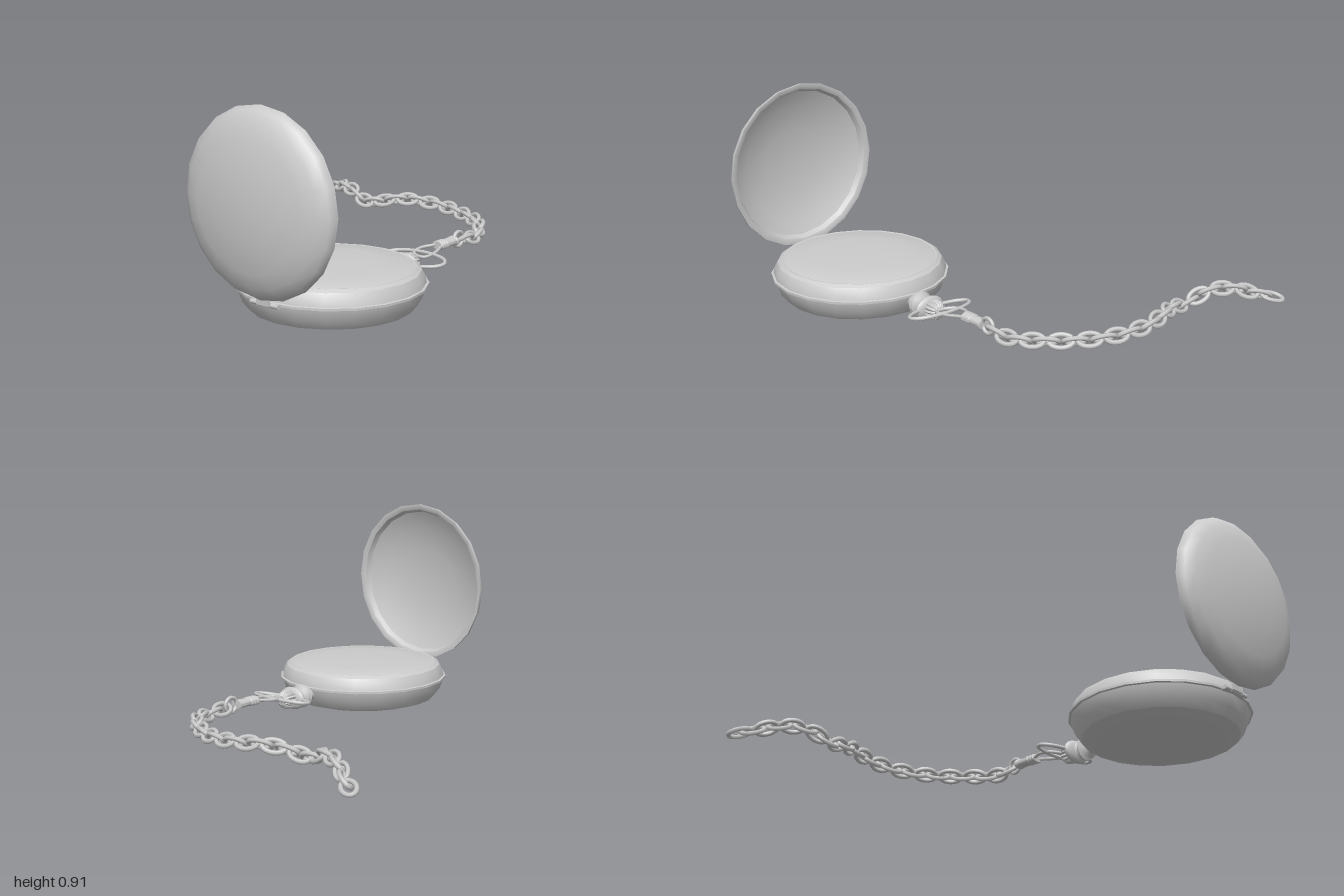
import * as THREE from 'three';
import { toCreasedNormals } from 'three/addons/utils/BufferGeometryUtils.js';

const CX = 0.415, CZ = 0.46; // centre of the case
const metal = new THREE.MeshStandardMaterial({ color: 0xcccccc });

function add(parent, name, geometry, x = 0, y = 0, z = 0) {
  const mesh = new THREE.Mesh(geometry, metal);
  mesh.name = name;
  mesh.position.set(x, y, z);
  parent.add(mesh);
  return mesh;
}

const lathe = (profile, sides, crease = 0.5) =>
  toCreasedNormals(new THREE.LatheGeometry(profile.map(p => new THREE.Vector2(...p)), sides), crease);

// Closed wire through points
function wire(points, radius, steps, sides = 6) {
  const curve = new THREE.CatmullRomCurve3(points, true);
  return new THREE.TubeGeometry(curve, steps, radius, sides, true);
}

// Elliptical wire loop in the xy plane
function loop(a, b, radius, steps) {
  const points = [];
  for (let i = 0; i < 12; i++) {
    const t = i / 12 * Math.PI * 2;
    points.push(new THREE.Vector3(a * Math.cos(t), b * Math.sin(t), 0));
  }
  return wire(points, radius, steps);
}

function buildWatch() {
  const watch = new THREE.Group();
  watch.name = 'watch';

  // Case with flat back, centre rim and raised bezel
  add(watch, 'case', lathe([
    [0, 0], [0.285, 0], [0.345, 0.018], [0.375, 0.055], [0.391, 0.1], [0.393, 0.108],
    [0.403, 0.11], [0.403, 0.12], [0.393, 0.122], [0.387, 0.15], [0.373, 0.175],
    [0.355, 0.186], [0.345, 0.184]
  ], 20), CX, 0, CZ);
  add(watch, 'crystal', lathe([[0.348, 0.183], [0.335, 0.188], [0.22, 0.197], [0, 0.2]], 20), CX, 0, CZ);

  // Open lid: thin dome with a turned inner lip
  const lid = lathe([
    [0, 0.1], [0.15, 0.091], [0.27, 0.068], [0.35, 0.03], [0.362, 0.006], [0.375, 0],
    [0.389, 0], [0.389, 0.01], [0.375, 0.035], [0.335, 0.062], [0.27, 0.085], [0.15, 0.107], [0, 0.115]
  ], 20, 0.6);
  lid.rotateX(Math.PI / 2);
  add(watch, 'lid', lid, CX, 0.523, 0.882);

  // Hinge knuckles and the leaf that carries the lid
  for (const [i, w] of [[-1, 0.038], [0, 0.066], [1, 0.038]]) {
    const knuckle = new THREE.CylinderGeometry(0.01, 0.01, w, 10);
    knuckle.rotateZ(Math.PI / 2);
    add(watch, 'hingeKnuckle', knuckle, CX + i * 0.054, 0.113, 0.867);
  }
  add(watch, 'hingeLeaf', new THREE.BoxGeometry(0.066, 0.04, 0.01), CX, 0.13, 0.878);
  add(watch, 'hingePlate', new THREE.BoxGeometry(0.14, 0.012, 0.03), CX, 0.113, 0.85);
  return watch;
}

function buildCrown() {
  const crown = new THREE.Group();
  crown.name = 'windingCrown';

  // Ridged stem between case and crown
  add(crown, 'stem', lathe([
    [0.03, -0.09], [0.03, -0.058], [0.05, -0.045], [0.03, -0.035], [0.056, -0.025],
    [0.056, -0.02], [0.035, -0.005], [0.046, 0.003], [0.03, 0.012], [0.03, 0.06]
  ], 16));

  // Oval shoulder holding the bow
  const shoulder = new THREE.SphereGeometry(1, 20, 12);
  shoulder.scale(0.075, 0.024, 0.053);
  add(crown, 'shoulder', shoulder, 0, 0.035, 0);

  // Fluted knob: every other column is pulled inwards
  const knob = new THREE.LatheGeometry([
    [0.03, 0.045], [0.044, 0.055], [0.046, 0.075], [0.04, 0.095], [0.024, 0.108], [0, 0.112]
  ].map(p => new THREE.Vector2(...p)), 32);
  const pos = knob.attributes.position;
  for (let i = 0; i < pos.count; i++) {
    if (Math.floor(i / 6) % 2) pos.setXYZ(i, pos.getX(i) * 0.87, pos.getY(i), pos.getZ(i) * 0.87);
  }
  add(crown, 'knob', toCreasedNormals(knob, 0.4));

  crown.rotation.x = -Math.PI / 2;
  crown.position.set(CX, 0.085, 0);
  return crown;
}

function buildClip() {
  const clip = new THREE.Group();
  clip.name = 'clip';

  // Oval bow, slightly tilted
  const bow = add(clip, 'bow', loop(0.158, 0.074, 0.009, 40), CX, 0.097, -0.105);
  bow.rotation.x = -Math.PI / 2 + 0.17;

  // Bent wire hook around the bow
  const hook = [
    [0.405, 0.12, -0.3], [0.395, 0.12, -0.27], [0.368, 0.115, -0.21], [0.375, 0.108, -0.155],
    [0.41, 0.104, -0.128], [0.452, 0.104, -0.128], [0.459, 0.11, -0.19], [0.437, 0.12, -0.27], [0.425, 0.12, -0.3]
  ].map(p => new THREE.Vector3(...p));
  add(clip, 'hook', wire(hook, 0.008, 48));

  // Barrel with collars
  const barrel = lathe([
    [0, 0.275], [0.028, 0.275], [0.033, 0.28], [0.033, 0.29], [0.028, 0.293], [0.033, 0.297],
    [0.033, 0.307], [0.028, 0.31], [0.033, 0.314], [0.033, 0.324], [0.028, 0.328],
    [0.03, 0.385], [0.033, 0.388], [0.033, 0.397], [0, 0.4]
  ], 14);
  barrel.rotateX(-Math.PI / 2);
  barrel.scale(1, 0.65, 1);
  add(clip, 'barrel', barrel, CX, 0.12, 0);

  // Upright ring joining barrel and chain
  const ring = add(clip, 'swivelRing', loop(0.034, 0.034, 0.009, 20), CX + 0.005, 0.122, -0.425);
  ring.rotation.y = Math.PI / 2;
  return clip;
}

function buildChain() {
  const chain = new THREE.Group();
  chain.name = 'chain';
  const path = new THREE.CatmullRomCurve3([
    [0.42, 0.112, -0.48], [0.415, 0.105, -0.55], [0.375, 0.115, -0.65], [0.29, 0.12, -0.75],
    [0.17, 0.12, -0.825], [0.05, 0.125, -0.87], [-0.08, 0.132, -0.88], [-0.2, 0.138, -0.85],
    [-0.3, 0.125, -0.805], [-0.4, 0.107, -0.788], [-0.52, 0.145, -0.815],
    [-0.62, 0.145, -0.86], [-0.7, 0.12, -0.91], [-0.778, 0.095, -0.963]
  ].map(p => new THREE.Vector3(...p)));

  // Oval links, each tilted the other way from its neighbour
  const link = loop(0.052, 0.03, 0.0105, 20);
  const count = 26;
  const up = new THREE.Vector3(0, 1, 0);
  for (let i = 0; i < count; i++) {
    const u = i / (count - 1);
    const along = path.getTangentAt(u);
    const side = new THREE.Vector3().crossVectors(up, along).normalize();
    side.applyAxisAngle(along, (i % 2 ? 1 : -1) * (i === count - 1 ? 0.25 : 0.75));
    const normal = new THREE.Vector3().crossVectors(along, side);
    const mesh = add(chain, 'chainLink', link);
    mesh.quaternion.setFromRotationMatrix(new THREE.Matrix4().makeBasis(along, side, normal));
    mesh.position.copy(path.getPointAt(u));
  }
  return chain;
}

export function createModel() {
  const model = new THREE.Group();
  model.name = 'pocketWatch';
  model.add(buildWatch(), buildCrown(), buildClip(), buildChain());
  return model;
}
